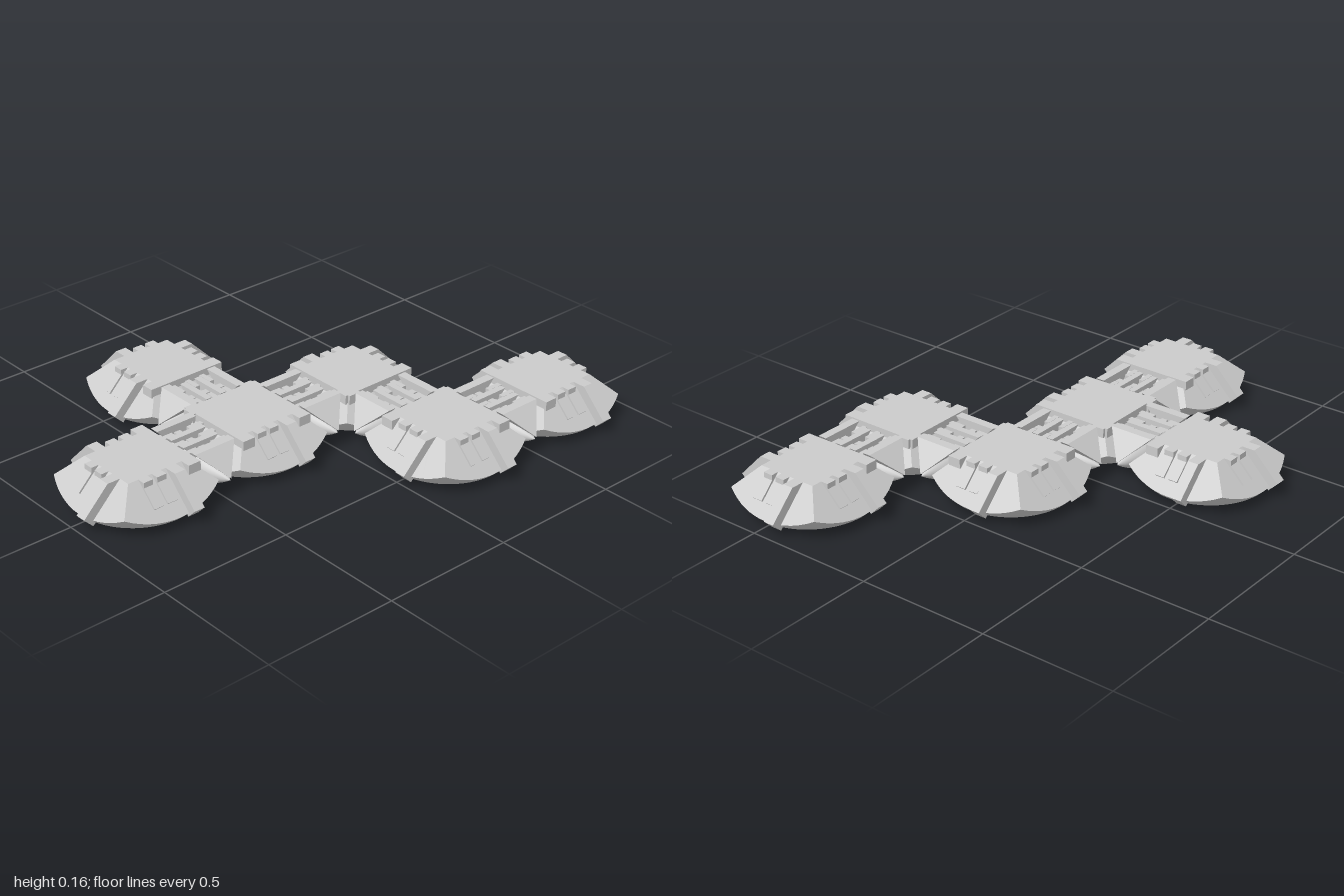
import * as THREE from 'three';
import { toCreasedNormals } from 'three/addons/utils/BufferGeometryUtils.js';
import { ConvexGeometry } from 'three/addons/geometries/ConvexGeometry.js';

const PITCH = 0.485, TOP = 0.16, BASE = 0.025;
const APEX = 0.28, R = 0.34; // common centre height and radius of the spherical underside

const smooth = new THREE.MeshStandardMaterial({ color: 0xcccccc });
const flat = new THREE.MeshStandardMaterial({ color: 0xcccccc, flatShading: true });

function add(parent, name, geometry, material = flat) {
  const mesh = new THREE.Mesh(geometry, material);
  mesh.name = name;
  parent.add(mesh);
  return mesh;
}

// Square pyramid frustum with a spherical underside cut flat at the base
function tileGeometry() {
  const N = 64, rings = 7, pos = [], idx = [];
  const discR = Math.sqrt(R * R - (APEX - BASE) ** 2);
  for (let j = 0; j < rings; j++) {
    for (let i = 0; i < N; i++) {
      const a = (i / N) * Math.PI * 2, c = Math.cos(a), s = Math.sin(a);
      const m = Math.max(Math.abs(c), Math.abs(s));
      const rim = R / Math.sqrt(1 + m * m);
      let r, y;
      if (j === 0) { r = 0; y = TOP; }
      else if (j === 1) { r = (APEX - TOP) / m; y = TOP; }
      else if (j === rings - 1) { r = 0; y = BASE; }
      else {
        r = THREE.MathUtils.lerp(rim, discR, (j - 2) / (rings - 4));
        y = APEX - Math.sqrt(R * R - r * r);
      }
      pos.push(r * c, y, r * s);
    }
  }
  for (let j = 0; j < rings - 1; j++) {
    for (let i = 0; i < N; i++) {
      const a = j * N + i, b = j * N + (i + 1) % N, c = a + N, d = b + N;
      if (j > 0) idx.push(a, b, c);
      if (j < rings - 2) idx.push(b, d, c);
    }
  }
  const g = new THREE.BufferGeometry();
  g.setAttribute('position', new THREE.Float32BufferAttribute(pos, 3));
  g.setIndex(idx);
  return toCreasedNormals(g, 0.4);
}

// Bar lying on a flank: outline in (outward, up), extruded to its width
function barGeometry(points, width, z) {
  const shape = new THREE.Shape(points.map(([x, y]) => new THREE.Vector2(x, y)));
  const g = new THREE.ExtrudeGeometry(shape, { depth: width, bevelEnabled: false });
  return g.translate(0, 0, z - width / 2);
}

const body = tileGeometry();
const longBar = barGeometry([[0.1, TOP], [0.1, 0.1], [0.2, 0.06], [0.235, BASE], [0.27, 0.06], [0.17, TOP]], 0.042, -0.055);
const shortBar = (z) => barGeometry([[0.1, TOP], [0.1, 0.1], [0.19, 0.07], [0.205, 0.085], [0.15, 0.14], [0.15, TOP]], 0.038, z);
const midBar = shortBar(0.005), endBar = shortBar(0.06);
const edgePlate = new THREE.BoxGeometry(0.05, 0.035, 0.32).translate(0.125, TOP - 0.0175, 0);

// Tile with bars on its free sides and a plate on each hinged side
function makeTile(x, z, hinged) {
  const tile = new THREE.Group();
  tile.name = 'tile';
  tile.position.set(x, 0, z);
  add(tile, 'tileBody', body, smooth);
  for (let k = 0; k < 4; k++) { // sides in order +x, -z, -x, +z
    const side = new THREE.Group();
    side.name = hinged.includes(k) ? 'hingedSide' : 'freeSide';
    side.rotation.y = k * Math.PI / 2;
    if (hinged.includes(k)) add(side, 'edgePlate', edgePlate);
    else {
      add(side, 'longTab', longBar);
      add(side, 'middleTab', midBar);
      add(side, 'shortTab', endBar);
    }
    tile.add(side);
  }
  return tile;
}

// V-shaped rib: flat on top, sharp edge at the bottom
function wedge(t0, t1, b0, b1, top) {
  const low = 0.075, w = top - low;
  return new ConvexGeometry([
    [t0, top, -w], [t0, top, w], [t1, top, -w], [t1, top, w], [b0, low, 0], [b1, low, 0],
  ].map((p) => new THREE.Vector3(...p)));
}

// Hinge running along x: barrel, ribs, slots and fingers
function makeHinge(x, z, turned) {
  const hinge = new THREE.Group();
  hinge.name = 'hinge';
  hinge.position.set(x, 0, z);
  if (turned) hinge.rotation.y = Math.PI / 2;

  const profile = [];
  for (let i = 0; i <= 16; i++) {
    const t = -0.2 + 0.025 * i;
    profile.push(new THREE.Vector2(Math.max(0, 0.065 - R + Math.sqrt(R * R - t * t)), t));
  }
  const barrel = new THREE.LatheGeometry(profile, 24).rotateZ(Math.PI / 2).translate(0, 0.065, 0);
  add(hinge, 'barrel', barrel, smooth);

  for (const s of [-1, 1]) {
    add(hinge, 'endRib', wedge(s * 0.086, s * 0.12, s * 0.086, s * 0.205, TOP));
    add(hinge, 'innerRib', wedge(s * 0.02, s * 0.045, s * 0.02, s * 0.045, TOP - 0.01));
  }
  add(hinge, 'slotFloor', wedge(-0.09, 0.09, -0.09, 0.09, 0.115));
  add(hinge, 'pin', new THREE.BoxGeometry(0.18, 0.02, 0.025).translate(0, 0.122, 0));
  for (const fx of [-0.065, 0, 0.065]) {
    for (const s of [-1, 1]) {
      add(hinge, 'finger', new THREE.BoxGeometry(0.02, 0.025, 0.075).translate(fx, 0.13, s * 0.07));
    }
  }
  return hinge;
}

export function createModel() {
  const model = new THREE.Group();
  model.name = 'foldingTileNet';
  const h = PITCH / 2;
  // Tile centres in half pitches, with the sides that carry a hinge
  const tiles = [
    [0, 3, [1]], [0, 1, [1, 2, 3]], [-2, 1, [0]],
    [0, -1, [3, 0]], [2, -1, [2, 1]], [2, -3, [3]],
  ];
  for (const [x, z, hinged] of tiles) model.add(makeTile(x * h, z * h, hinged));
  const hinges = [[0, 2, false], [0, 0, false], [2, -2, false], [-1, 1, true], [1, -1, true]];
  for (const [x, z, turned] of hinges) model.add(makeHinge(x * h, z * h, turned));
  return model;
}
